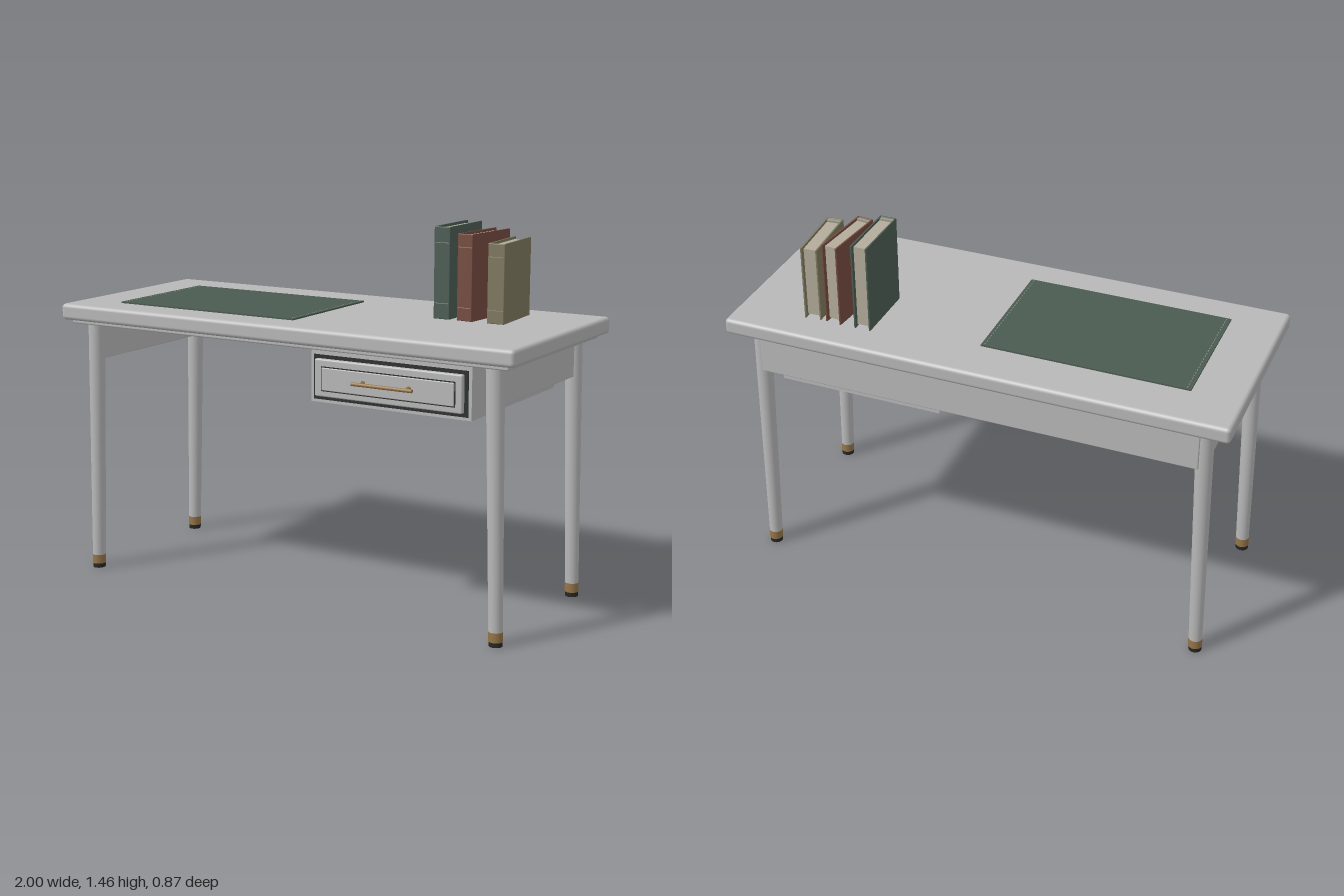
import * as THREE from 'three';
import { RoundedBoxGeometry } from 'three/addons/geometries/RoundedBoxGeometry.js';

const material = (name, color) => {
  const m = new THREE.MeshStandardMaterial({ color });
  m.name = name;
  return m;
};

export function createModel() {
  const root = new THREE.Group();
  root.name = 'writingDesk';

  const paint = material('greyPaint', 0xb8b8b8);
  const shadowGap = material('darkGap', 0x2c302e);
  const brass = material('brass', 0x957548);
  const rubber = material('rubber', 0x282624);
  const leather = material('greenLeather', 0x4b5b50);
  const greenCloth = material('greenCloth', 0x4c5d54);
  const redCloth = material('redCloth', 0x754c40);
  const oliveCloth = material('oliveCloth', 0x7e7960);
  const paper = material('paper', 0xb3ab9b);
  const thread = material('thread', 0x9a9a88);

  const add = (parent, name, geometry, mat, x = 0, y = 0, z = 0) => {
    const mesh = new THREE.Mesh(geometry, mat);
    mesh.name = name;
    mesh.position.set(x, y, z);
    parent.add(mesh);
    return mesh;
  };

  // Box given by its limits on each axis, with optionally rounded edges
  const block = (parent, name, mat, [x0, x1], [y0, y1], [z0, z1], radius = 0) => {
    const size = [x1 - x0, y1 - y0, z1 - z0];
    const geometry = radius
      ? new RoundedBoxGeometry(...size, 3, radius)
      : new THREE.BoxGeometry(...size);
    return add(parent, name, geometry, mat, (x0 + x1) / 2, (y0 + y1) / 2, (z0 + z1) / 2);
  };

  // Top and the moulding below it
  block(root, 'desktop', paint, [-1, 1], [1.04, 1.105], [-0.43, 0.42], 0.016);
  block(root, 'topMoulding', paint, [-0.965, 0.965], [1.024, 1.042], [-0.395, 0.39], 0.006);

  // Aprons: one at the back, one on each side, open at the front
  block(root, 'backApron', paint, [-0.88, 0.88], [0.87, 1.026], [-0.38, -0.345], 0.004);
  for (const s of [-1, 1]) {
    const mesh = block(root, 'sideApron', paint, [-0.02, 0.02], [0.88, 1.026], [-0.34, 0.333], 0.004);
    mesh.position.x = s * 0.885;
  }

  // Tapered, slightly splayed legs with brass ferrules and rubber feet
  const legBottom = 0.026, legTop = 0.034, height = 1.03;
  const radiusAt = (y) => legBottom + (legTop - legBottom) * (y / height);
  const legPart = (parent, name, mat, y0, y1, extra) => add(parent, name,
    new THREE.CylinderGeometry(radiusAt(y1) + extra, radiusAt(y0) + extra, y1 - y0, 28),
    mat, 0, (y0 + y1) / 2, 0);
  for (const s of [-1, 1]) {
    for (const z of [0.333, -0.341]) {
      const leg = new THREE.Group();
      leg.name = 'leg';
      legPart(leg, 'legShaft', paint, 0.052, height, 0);
      legPart(leg, 'ferrule', brass, 0.018, 0.055, 0.0008);
      legPart(leg, 'foot', rubber, 0, 0.018, -0.0005);
      leg.position.set(s * 0.912, 0, z);
      // Shear keeps the foot flat on the floor
      leg.traverse((part) => {
        if (!part.isMesh) return;
        const shear = new THREE.Matrix4().set(
          1, -s * 0.023, 0, -s * 0.023 * part.position.y, 0, 1, 0, 0, 0, 0, 1, 0, 0, 0, 0, 1);
        part.geometry.applyMatrix4(shear);
      });
      root.add(leg);
    }
  }

  // Drawer: case, shadow gap, front and raised panel
  const drawer = new THREE.Group();
  drawer.name = 'drawer';
  root.add(drawer);
  block(drawer, 'drawerCase', paint, [0.15, 0.815], [0.825, 1.025], [-0.335, 0.365]);
  block(drawer, 'drawerGap', shadowGap, [0.163, 0.802], [0.837, 1.005], [0.364, 0.369]);
  block(drawer, 'drawerFront', paint, [0.177, 0.788], [0.851, 0.992], [0.366, 0.389], 0.006);
  block(drawer, 'panelLine', shadowGap, [0.206, 0.762], [0.873, 0.966], [0.386, 0.3905]);
  block(drawer, 'raisedPanel', paint, [0.21, 0.758], [0.877, 0.962], [0.387, 0.396], 0.003);

  // Bar pull on two posts with round roses
  const bar = add(drawer, 'handleBar', new THREE.CylinderGeometry(0.007, 0.007, 0.25, 16),
    brass, 0.484, 0.922, 0.428);
  bar.rotation.z = Math.PI / 2;
  for (const s of [-1, 1]) {
    const x = 0.484 + s * 0.095;
    add(drawer, 'handlePost', new THREE.CylinderGeometry(0.005, 0.005, 0.036, 12),
      brass, x, 0.922, 0.411).rotation.x = Math.PI / 2;
    add(drawer, 'handleRose', new THREE.CylinderGeometry(0.009, 0.009, 0.005, 16),
      brass, x, 0.922, 0.398).rotation.x = Math.PI / 2;
  }

  // Desk mat with a row of stitches along both short ends
  block(root, 'deskMat', leather, [-0.8, 0.016], [1.104, 1.111], [-0.243, 0.283]);
  for (const x of [-0.783, 0.003]) {
    for (let i = 0; i < 26; i++) {
      add(root, 'stitch', new THREE.BoxGeometry(0.0025, 0.001, 0.01),
        thread, x, 1.1112, -0.23 + i * 0.02);
    }
  }

  // Upright books, spines to the front: two boards, a rounded spine and pages
  const makeBook = (name, cloth, x, width, tall, turn, bandInset) => {
    const book = new THREE.Group();
    book.name = name;
    const w = width / 2, t = 0.006, back = -0.132, front = 0.132;
    for (const s of [-1, 1]) {
      block(book, 'coverBoard', cloth, [-t / 2, t / 2], [0, tall], [back, front - 0.004])
        .position.x = s * (w - t / 2);
    }
    block(book, 'spine', cloth, [-w, w], [0, tall], [front - 0.008, front], 0.003);
    block(book, 'pages', paper, [-w + t, w - t], [0.008, tall - 0.01], [back + 0.018, front - 0.008]);
    block(book, 'headband', thread, [-w + t, w - t], [tall - 0.012, tall - 0.003], [front - 0.022, front - 0.007]);
    for (const y of [bandInset, tall - bandInset]) {
      block(book, 'spineBand', thread, [-w + 0.005, w - 0.005], [y - 0.001, y + 0.001], [front - 0.001, front + 0.0006]);
    }
    book.position.set(x, 1.105, -0.168);
    book.rotation.y = turn;
    root.add(book);
  };
  makeBook('greenBook', greenCloth, 0.477, 0.067, 0.35, 0, 0.06);
  makeBook('redBook', redCloth, 0.586, 0.066, 0.328, -0.1, 0.05);
  makeBook('oliveBook', oliveCloth, 0.694, 0.067, 0.3, 0.07, 0.05);

  return root;
}
